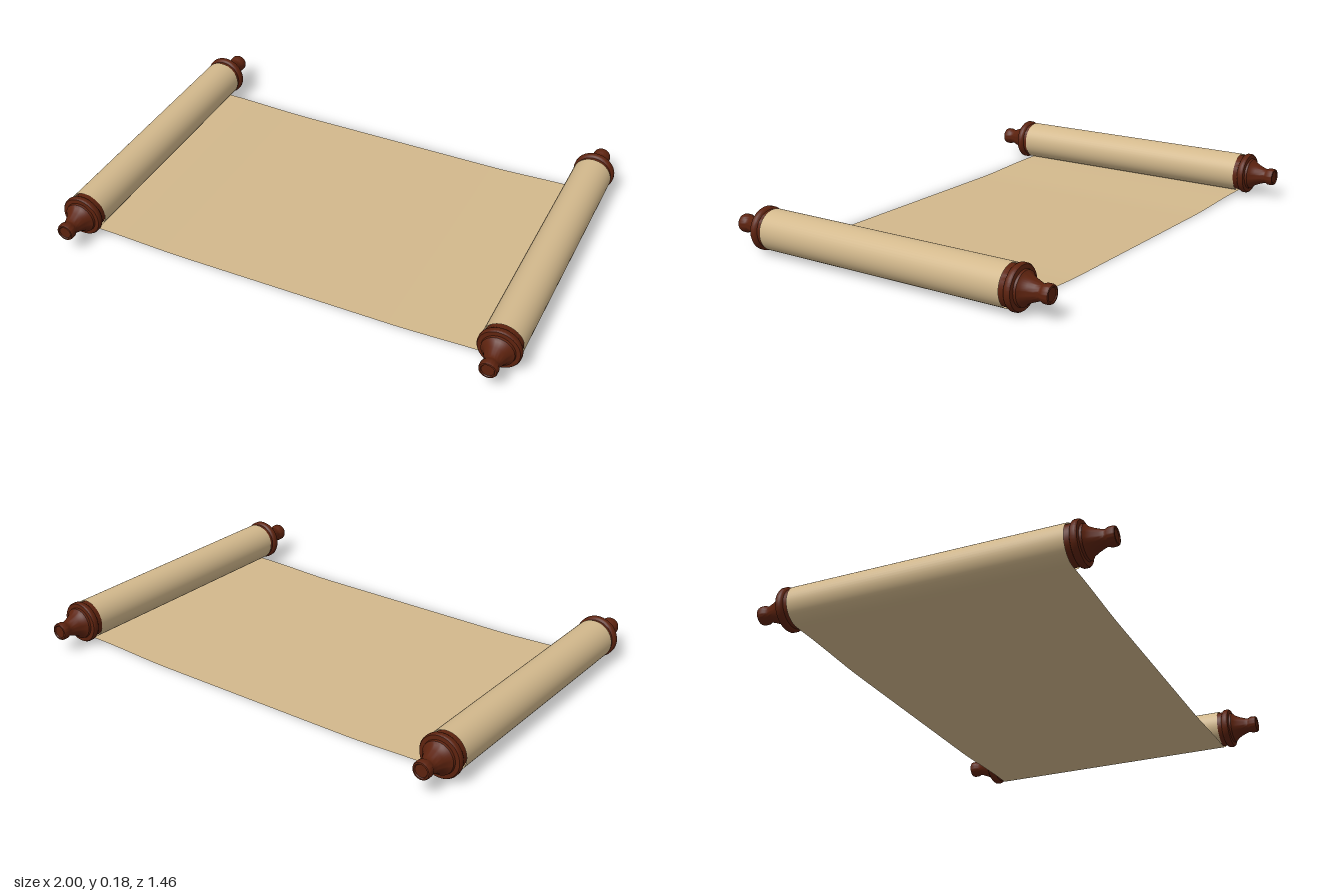
import * as THREE from 'three';
import { toCreasedNormals } from 'three/addons/utils/BufferGeometryUtils.js';

export function createModel() {
  const model = new THREE.Group();
  const paper = new THREE.MeshStandardMaterial({ color: 0xd2b88c, side: THREE.DoubleSide });
  paper.name = 'parchment';
  const wood = new THREE.MeshStandardMaterial({ color: 0x5c220e });
  wood.name = 'dark wood';

  const rollX = 0.912, rollY = 0.095, rollR = 0.083, halfLength = 0.565;

  function add(parent, name, geometry, material) {
    const mesh = new THREE.Mesh(geometry, material);
    mesh.name = name;
    parent.add(mesh);
    return mesh;
  }

  // Open sheet, leaving the underside of each roll and settling on the ground
  const sheet = new THREE.PlaneGeometry(rollX * 2, halfLength * 2, 64, 1).rotateX(-Math.PI / 2);
  const pos = sheet.attributes.position;
  for (let i = 0; i < pos.count; i++) {
    const rise = THREE.MathUtils.smoothstep(Math.abs(pos.getX(i)), 0.45, 0.86);
    pos.setY(i, 0.012 * rise);
  }
  sheet.computeVertexNormals();
  add(model, 'sheet', sheet, paper);

  // Turned handle: collar, flange, tapering neck and knob (radius, distance along the rod)
  const profile = [
    [0, 0.555], [0.078, 0.555], [0.078, 0.583], [0.085, 0.587], [0.088, 0.593],
    [0.088, 0.607], [0.084, 0.613], [0.068, 0.615], [0.066, 0.624], [0.056, 0.632],
    [0.045, 0.652], [0.036, 0.675], [0.031, 0.69], [0.033, 0.698], [0.037, 0.706],
    [0.037, 0.724], [0.034, 0.731], [0.028, 0.732], [0.025, 0.728], [0, 0.728],
  ].map(([r, d]) => new THREE.Vector2(r, d));
  const handle = toCreasedNormals(new THREE.LatheGeometry(profile, 40), 0.6);

  for (const side of [-1, 1]) {
    const roller = new THREE.Group();
    roller.name = side > 0 ? 'leftRoller' : 'rightRoller';
    roller.position.set(side * rollX, rollY, 0);
    model.add(roller);

    // Rolled parchment
    const roll = new THREE.CylinderGeometry(rollR, rollR, halfLength * 2, 48, 1, true);
    add(roller, 'paperRoll', roll.rotateX(Math.PI / 2), paper);

    // Handles at both ends
    add(roller, 'frontHandle', handle, wood).rotation.x = Math.PI / 2;
    add(roller, 'backHandle', handle, wood).rotation.x = -Math.PI / 2;
  }
  return model;
}
